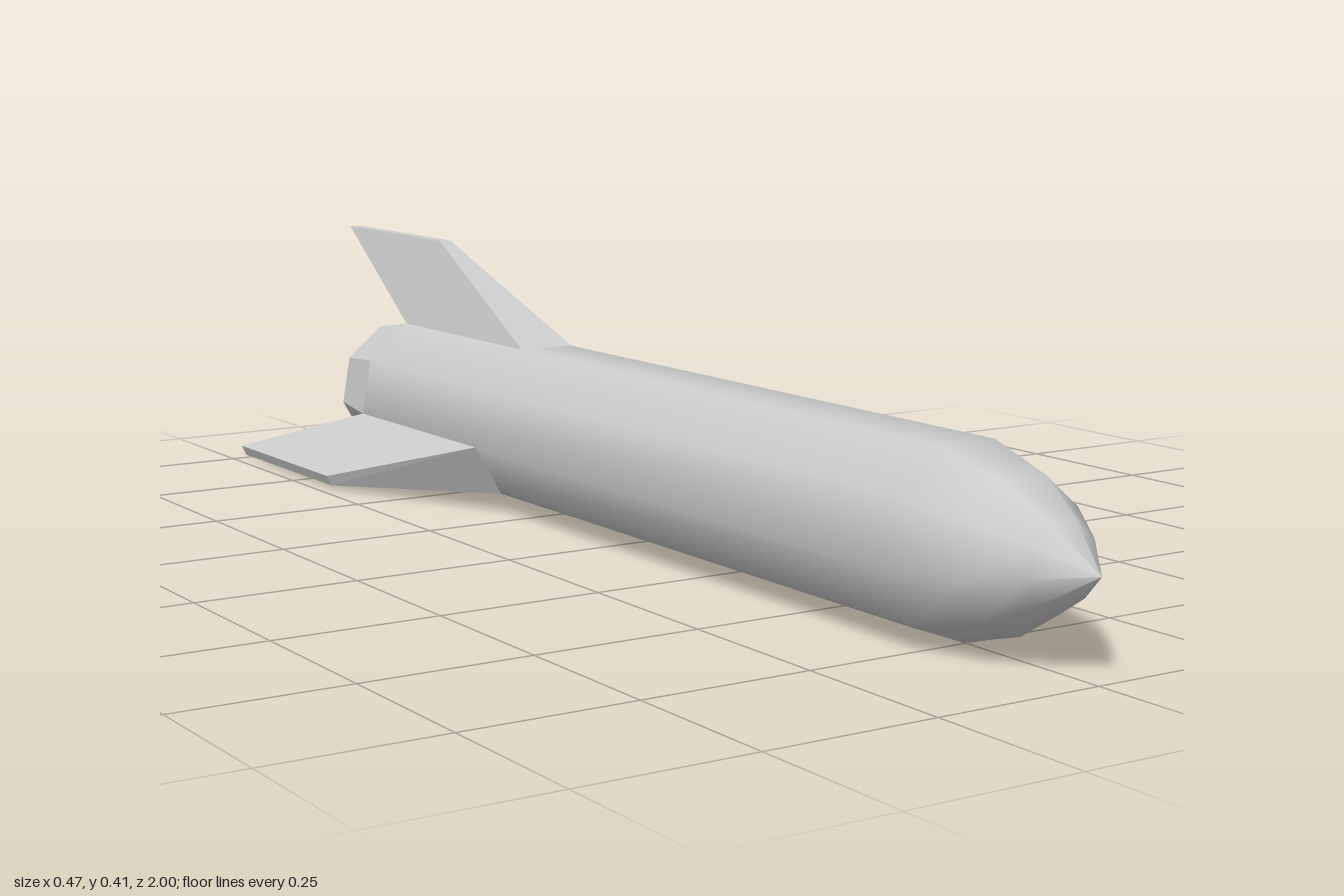
import * as THREE from 'three';
import { ConvexGeometry } from 'three/addons/geometries/ConvexGeometry.js';

const SIDES = 9;
const R = 0.1356; // hull radius, also the height of its axis
const TAIL = -0.71;

// Nine-sided turned part along z, one corner pointing straight down
function turned(name, profile, material) {
  const points = profile.map(([r, z]) => new THREE.Vector2(r, z));
  const geometry = new THREE.LatheGeometry(points, SIDES).rotateX(Math.PI / 2);
  const mesh = new THREE.Mesh(geometry, material);
  mesh.name = name;
  mesh.position.y = R;
  return mesh;
}

// Hull corner, counted from the lowest one
function corner(i) {
  const a = (i * Math.PI * 2) / SIDES;
  return [R * Math.sin(a), R - R * Math.cos(a)];
}

// Swept, tapering fin standing on one hull facet
function fin(name, root, tip, tipBack, material) {
  const points = [];
  for (const [x, y] of root) for (const z of [-0.31, TAIL]) points.push(new THREE.Vector3(x, y, z));
  for (const [x, y] of tip) for (const z of [-0.65, tipBack]) points.push(new THREE.Vector3(x, y, z));
  const mesh = new THREE.Mesh(new ConvexGeometry(points), material);
  mesh.name = name;
  return mesh;
}

export function createModel() {
  const group = new THREE.Group();
  group.name = 'rocket';
  const smooth = new THREE.MeshStandardMaterial({ color: 0xcccccc, side: THREE.DoubleSide });
  const flat = new THREE.MeshStandardMaterial({ color: 0xcccccc, side: THREE.DoubleSide, flatShading: true });

  // Hull with rounded nose
  group.add(turned('hull', [[R, TAIL], [R, 0.745], [0.105, 0.855], [0.059, 0.93], [0, 1]], smooth));

  // Hollow exhaust nozzle: bore end, bore, rim, tapered outside
  group.add(turned('nozzle', [[0, -0.5], [0.09, -0.5], [0.09, -0.825], [0.116, -0.825], [R, TAIL]], flat));

  // Three fins
  group.add(fin('topFin', [corner(4), corner(5)], [[0.01, 0.409], [-0.01, 0.409]], -0.995, flat));
  for (const s of [1, -1]) {
    const root = [corner(1), corner(2)].map(([x, y]) => [s * x, y]);
    const tip = [[s * 0.225, 0.005], [s * 0.233, 0.022]];
    group.add(fin(s > 0 ? 'leftFin' : 'rightFin', root, tip, -1, flat));
  }
  return group;
}
